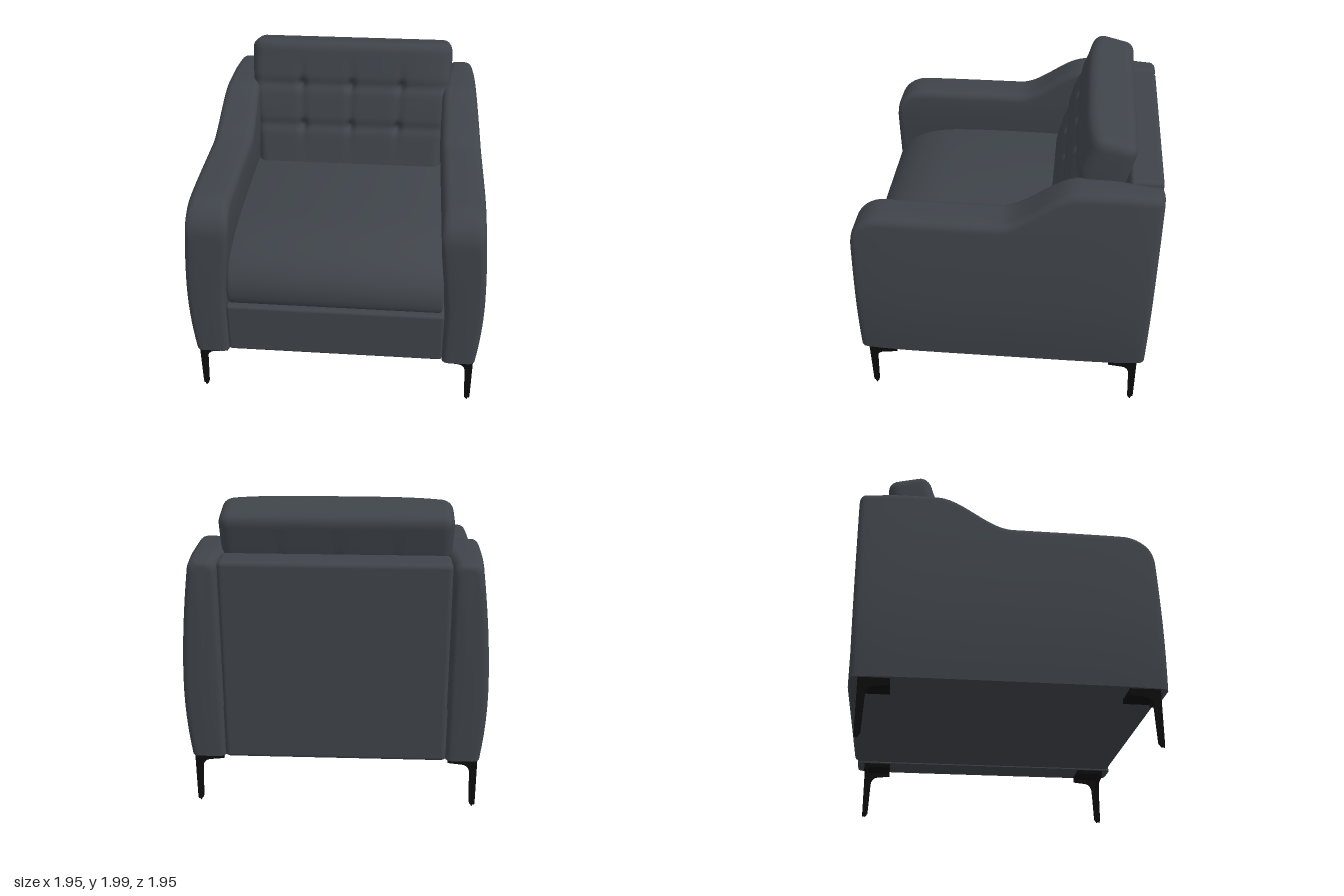
import * as THREE from 'three';
import { mergeVertices, toCreasedNormals } from 'three/addons/utils/BufferGeometryUtils.js';
import { RoundedBoxGeometry } from 'three/addons/geometries/RoundedBoxGeometry.js';

const { smoothstep, clamp } = THREE.MathUtils;
const BOTTOM = 0.365;

// Arm: cross-sections lofted from back to front
function armGeometry(side) {
  const end = 0.965, edge = 0.04, r = 0.055;
  const columns = [];
  for (let i = 0; i <= 5; i++) { // rounded back end
    const a = (i / 5) * Math.PI / 2;
    columns.push([-end + edge * (1 - Math.cos(a)), 1.655 + 0.035 * Math.sin(a)]);
  }
  for (let i = 1; i <= 40; i++) { // shoulder sweeping down to the armrest
    const z = -0.925 + (i / 40) * 1.69;
    const crown = 0.01 * smoothstep(z, -0.925, -0.7);
    columns.push([z, 1.46 + (0.23 + crown) * (1 - smoothstep(z, -0.46, 0.03))]);
  }
  for (let i = 1; i <= 14; i++) { // rounded front corner
    const a = (i / 14) * Math.PI / 2;
    columns.push([0.765 + 0.2 * Math.sin(a), 1.26 + 0.2 * Math.cos(a)]);
  }
  const inner = (y, z) => 0.71 - 0.05 * smoothstep(y, 0.7, 1.35) * smoothstep(z, -0.9, -0.5);
  const outer = (y, z) => {
    const bulge = y < 0.8 ? 0.03 * ((0.8 - y) / 0.43) ** 2 : 0.08 * ((y - 0.8) / 0.9) ** 1.7;
    return 0.975 - bulge - 0.02 * Math.abs(z / end) ** 6;
  };
  const pos = [], index = [];
  const section = (z, top) => {
    const d = Math.min(edge, end - Math.abs(z));
    const inset = edge - Math.sqrt(Math.max(0, edge ** 2 - (edge - d) ** 2));
    const pts = [], shoulder = top - r;
    for (let i = 0; i <= 14; i++) {
      const y = BOTTOM + (shoulder - BOTTOM) * i / 14;
      pts.push([inner(y, z) + inset, y]);
    }
    const xi = inner(shoulder, z) + inset, xo = outer(shoulder, z) - inset;
    for (let i = 1; i <= 6; i++) {
      const a = (i / 6) * Math.PI / 2;
      pts.push([xi + r * (1 - Math.cos(a)), shoulder + r * Math.sin(a)]);
    }
    for (let i = 6; i >= 1; i--) {
      const a = (i / 6) * Math.PI / 2;
      pts.push([xo - r * (1 - Math.cos(a)), shoulder + r * Math.sin(a)]);
    }
    for (let i = 14; i >= 0; i--) {
      const y = BOTTOM + (shoulder - BOTTOM) * i / 14;
      pts.push([outer(y, z) - inset, y]);
    }
    return pts;
  };
  const put = (x, y, z) => pos.push(side * x, y, z - 0.015 * (y - 1));
  const tri = (a, b, c) => (side > 0 ? index.push(a, b, c) : index.push(a, c, b));
  let n = 0;
  for (const [z, top] of columns) {
    const pts = section(z, top);
    n = pts.length;
    pts.forEach(([x, y]) => put(x, y, z));
  }
  const last = columns.length - 1;
  for (let i = 0; i < last; i++) {
    for (let j = 0; j < n; j++) {
      const k = (j + 1) % n, a = i * n + j, b = i * n + k;
      tri(a, a + n, b);
      tri(b, a + n, b + n);
    }
  }
  const c = pos.length / 3;
  put(0.82, 0.9, -end);
  put(0.82, 0.85, end);
  for (let j = 0; j < n; j++) {
    const k = (j + 1) % n;
    tri(c, j, k);
    tri(c + 1, last * n + k, last * n + j);
  }
  const g = new THREE.BufferGeometry();
  g.setAttribute('position', new THREE.Float32BufferAttribute(pos, 3));
  g.setIndex(index);
  return toCreasedNormals(g, 0.7);
}

// Tufted back cushion: a rounded block pinched at six points
function backCushionGeometry() {
  const half = [0.72, 0.49, 0.165], r = 0.07;
  let g = new THREE.BoxGeometry(1.44, 0.98, 0.33, 84, 56, 12);
  g.deleteAttribute('uv');
  g.deleteAttribute('normal');
  g = mergeVertices(g);
  const p = g.attributes.position, v = new THREE.Vector3(), core = new THREE.Vector3();
  const rows = [0.175, -0.125], cols = [-0.36, 0, 0.36];
  const bump = (d, w) => Math.exp(-(d * d) / (w * w));
  for (let i = 0; i < p.count; i++) {
    v.fromBufferAttribute(p, i);
    core.set(...v.toArray().map((c, k) => clamp(c, r - half[k], half[k] - r)));
    v.sub(core);
    if (v.lengthSq() > 0) v.setLength(r);
    v.add(core);
    let dip = 0;
    for (const y of rows) {
      dip += 0.014 * bump(v.y - y, 0.035);
      for (const x of cols) dip += 0.04 * bump(Math.hypot(v.x - x, (v.y - y) * 0.7), 0.025);
    }
    for (const x of cols) dip += 0.01 * bump(v.x - x, 0.03) * smoothstep(v.y, -0.4, -0.1) * (1 - smoothstep(v.y, 0.2, 0.42));
    const face = smoothstep(Math.abs(v.z), 0.06, 0.16);
    v.z -= Math.sign(v.z) * face * dip * (v.z > 0 ? 1 : 0.5);
    v.z -= 0.05 * (v.x / 0.72) ** 4 * smoothstep(v.z, -0.1, 0.16) * smoothstep(v.y, 0, 0.45);
    v.x *= 1 - 0.07 * (1 - smoothstep(v.y, -0.45, 0.4));
    p.setXYZ(i, v.x, v.y, v.z);
  }
  g.computeVertexNormals();
  return g;
}

// Seat cushion: side profile with a rolled front, extruded across
function seatCushionGeometry() {
  const b = 0.025;
  const s = new THREE.Shape();
  s.moveTo(-0.75, 0.74 + b);
  s.lineTo(0.9, 0.74 + b);
  s.bezierCurveTo(0.93, 0.765, 0.94, 0.79, 0.94, 0.83);
  s.bezierCurveTo(0.94, 0.98, 0.78, 1.1, 0.5, 1.115);
  s.bezierCurveTo(0.2, 1.13, -0.3, 1.12, -0.75, 1.1);
  s.closePath();
  const g = new THREE.ExtrudeGeometry(s, {
    depth: 1.34, bevelSize: b, bevelThickness: b, bevelSegments: 5, curveSegments: 20,
  });
  g.translate(0, 0, -0.67);
  g.rotateY(-Math.PI / 2); // profile z runs along the seat depth
  g.rotateY(Math.PI);
  if (g.boundingBox === null) g.computeBoundingBox();
  if (g.boundingBox.max.z < 0.9) g.rotateY(Math.PI);
  return toCreasedNormals(g, 0.7);
}

// Leg blade: tapering foot with a curved bracket
function bladeGeometry() {
  const s = new THREE.Shape();
  s.moveTo(0, 0.37);
  s.lineTo(-0.19, 0.37);
  s.lineTo(-0.19, 0.322);
  s.lineTo(-0.1, 0.312);
  s.quadraticCurveTo(-0.052, 0.305, -0.048, 0.25);
  s.lineTo(-0.038, 0.025);
  s.lineTo(-0.02, 0);
  s.lineTo(-0.01, 0.03);
  s.closePath();
  return new THREE.ExtrudeGeometry(s, { depth: 0.022, bevelEnabled: false, curveSegments: 8 });
}

export function createModel() {
  const fabric = new THREE.MeshStandardMaterial({ color: 0x3f444a });
  fabric.name = 'charcoal fabric';
  const metal = new THREE.MeshStandardMaterial({ color: 0x0c0c0d });
  metal.name = 'black metal';

  const chair = new THREE.Group();
  chair.name = 'armchair';
  const add = (name, geometry, material, x = 0, y = 0, z = 0, parent = chair) => {
    const m = new THREE.Mesh(geometry, material);
    m.name = name;
    m.position.set(x, y, z);
    parent.add(m);
    return m;
  };

  // Upholstered body
  add('leftArm', armGeometry(1), fabric);
  add('rightArm', armGeometry(-1), fabric);
  add('baseFrame', new RoundedBoxGeometry(1.42, 0.363, 1.91, 4, 0.02), fabric, 0, 0.5485, 0);
  add('backFrame', new RoundedBoxGeometry(1.41, 1.32, 0.21, 5, 0.03), fabric, 0, 1.03, -0.869);
  add('seatCushion', seatCushionGeometry(), fabric);
  add('backCushion', backCushionGeometry(), fabric, 0, 1.49, -0.53).rotation.x = -0.25;

  // Four corner legs, each two blades at a right angle under a mounting plate
  const blade = bladeGeometry();
  const plate = new THREE.BoxGeometry(0.19, 0.03, 0.19);
  for (const [name, x, z, turn] of [
    ['frontLeftLeg', 0.92, 0.92, 0], ['backLeftLeg', 0.92, -0.905, 1],
    ['backRightLeg', -0.92, -0.905, 2], ['frontRightLeg', -0.92, 0.92, 3],
  ]) {
    const leg = new THREE.Group();
    leg.name = name;
    leg.position.set(x, 0, z);
    leg.rotation.y = turn * Math.PI / 2;
    add('frontBlade', blade, metal, 0, 0, -0.022, leg);
    add('sideBlade', blade, metal, -0.022, 0, 0, leg).rotation.y = -Math.PI / 2;
    leg.children[1].position.x = 0;
    add('mountingPlate', plate, metal, -0.095, 0.352, -0.095, leg);
    chair.add(leg);
  }
  return chair;
}
